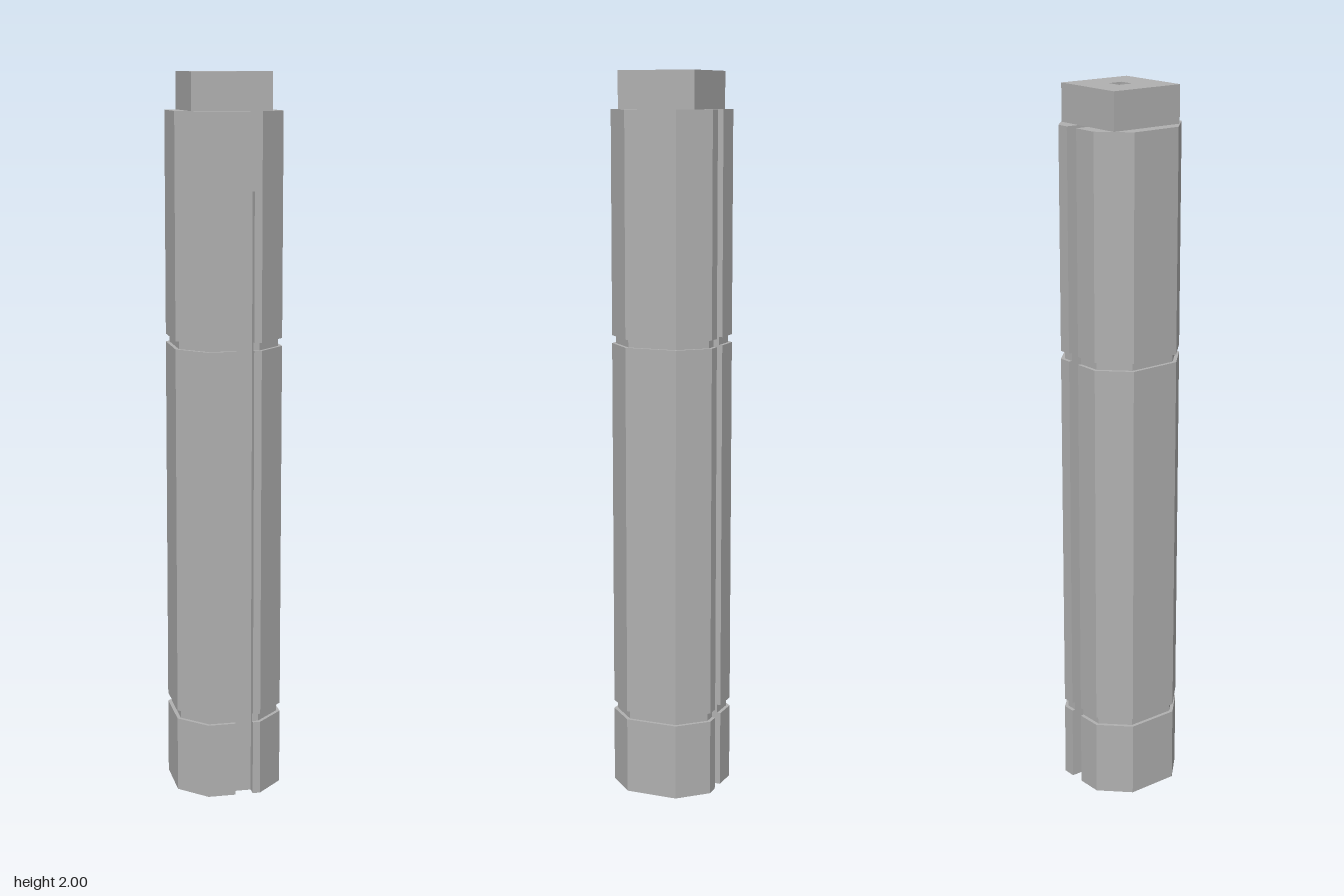
import * as THREE from 'three';

const R = 0.148;      // half width of the octagon
const C = 0.074;      // half length of a flat face
const HOLE = 0.022;   // half width of the central bore

// Extrudes an outline of [x, z] points upward from y0 to y1
function prism(name, points, y0, y1, material, hole) {
  const toVec = ([x, z]) => new THREE.Vector2(x, -z);
  const shape = new THREE.Shape(points.map(toVec));
  if (hole) shape.holes.push(new THREE.Path(hole.map(toVec)));
  const geometry = new THREE.ExtrudeGeometry(shape, { depth: y1 - y0, bevelEnabled: false });
  geometry.rotateX(-Math.PI / 2);
  geometry.translate(0, y0, 0);
  const mesh = new THREE.Mesh(geometry, material);
  mesh.name = name;
  return mesh;
}

const square = (s) => [[-s, s], [s, s], [s, -s], [-s, -s]];

// Octagon with a deep rear slot running into the bore, and optionally a shallow front slot
function outline(inset, frontSlot) {
  const r = R - inset, c = C - inset * 0.41;
  const front = frontSlot ? [[0.004, r], [0.004, 0.122], [0.053, 0.122], [0.053, r]] : [];
  return [
    [-c, r], ...front, [c, r], [r, c], [r, -c], [c, -r],
    [0.038, -r], [0.038, -HOLE], [HOLE, -HOLE], [HOLE, HOLE],
    [-HOLE, HOLE], [-HOLE, -HOLE], [-0.002, -HOLE], [-0.002, -r],
    [-c, -r], [-r, -c], [-r, c],
  ];
}

export function createModel() {
  const grey = new THREE.MeshStandardMaterial({ color: 0xb0b0b0 });
  grey.name = 'grey';
  const group = new THREE.Group();
  group.name = 'slottedColumn';

  // Body sections from the bottom up: name, y0, y1, inset, front slot
  const sections = [
    ['baseSection', 0, 0.212, 0, true],
    ['lowerGroove', 0.212, 0.236, 0.01, true],
    ['middleSection', 0.236, 1.265, 0, true],
    ['upperGroove', 1.265, 1.287, 0.01, true],
    ['upperSection', 1.287, 1.69, 0, true],
    ['topSection', 1.69, 1.898, 0, false],
  ];
  for (const [name, y0, y1, inset, slot] of sections) {
    group.add(prism(name, outline(inset, slot), y0, y1, grey));
  }

  // Square cap with the bore through it
  group.add(prism('cap', square(0.11), 1.898, 2, grey, square(HOLE)));
  return group;
}
